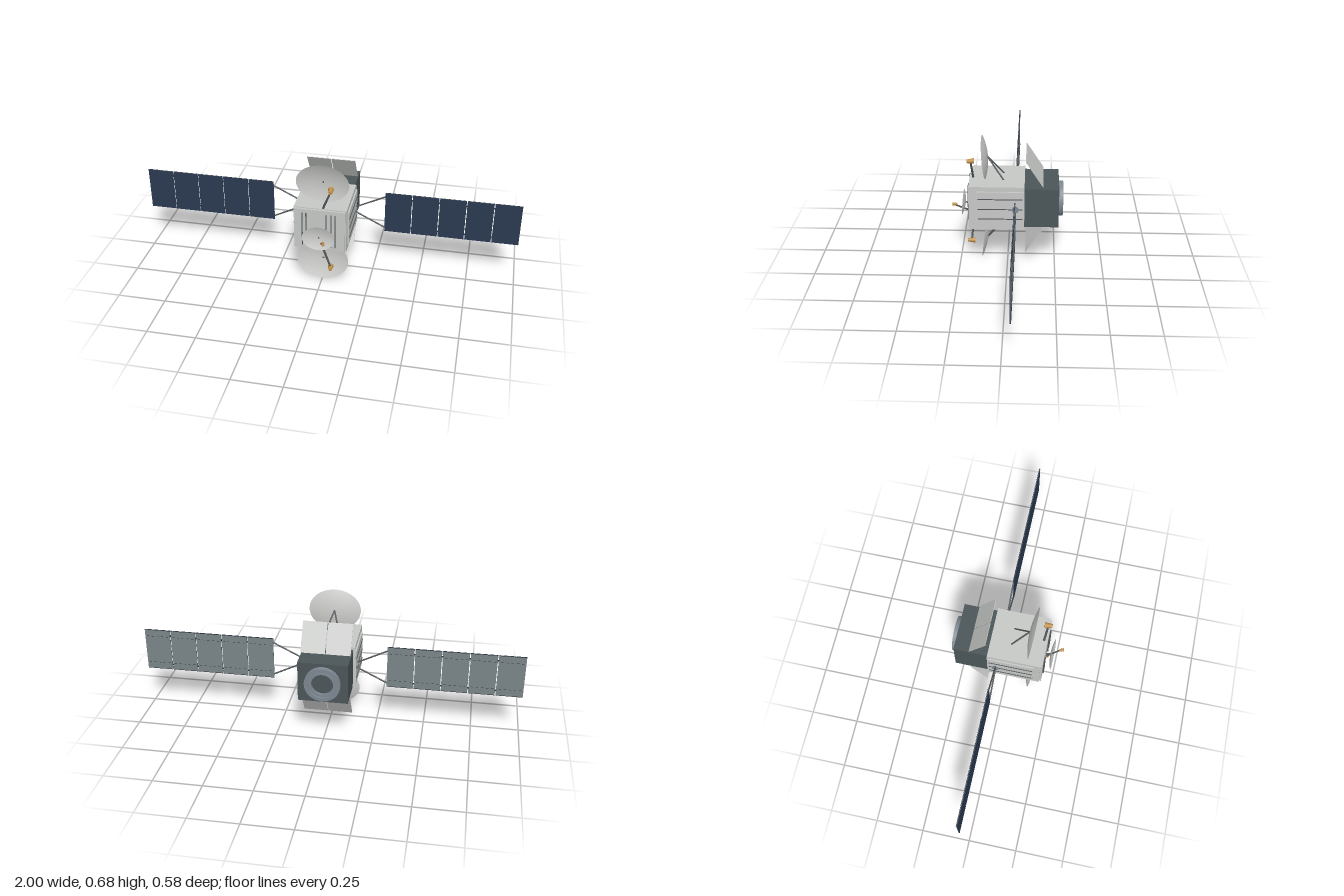
import * as THREE from 'three';

const mat = (name, color, side = THREE.FrontSide) => {
  const m = new THREE.MeshStandardMaterial({ color, side });
  m.name = name;
  return m;
};
const V = (x, y, z) => new THREE.Vector3(x, y, z);
const CY = 0.344; // height of the body axis

export function createModel() {
  const root = new THREE.Group();
  root.name = 'satellite';
  const M = {
    body: mat('lightGrey', 0xc6c8c6),
    dish: mat('dishGrey', 0xcacac8, THREE.DoubleSide),
    dark: mat('slate', 0x4b5558),
    steel: mat('steel', 0x7d8891),
    rod: mat('rodGrey', 0x50565a),
    cell: mat('navy', 0x2b3a52),
    back: mat('panelGrey', 0x7a8488),
    gold: mat('gold', 0xc08f48),
    line: mat('charcoal', 0x2c3032),
  };

  const add = (name, geo, material, parent = root) => {
    const m = new THREE.Mesh(geo, material);
    m.name = name;
    parent.add(m);
    return m;
  };
  // box from its extents along each axis
  const box = (name, [x0, x1], [y0, y1], [z0, z1], material) => {
    const m = add(name, new THREE.BoxGeometry(x1 - x0, y1 - y0, z1 - z0), material);
    m.position.set((x0 + x1) / 2, (y0 + y1) / 2, (z0 + z1) / 2);
    return m;
  };
  // round bar from a (radius ra) to b (radius rb)
  const bar = (name, a, b, ra, rb, material, sides = 10) => {
    const d = b.clone().sub(a);
    const m = add(name, new THREE.CylinderGeometry(rb, ra, d.length(), sides), material);
    m.position.copy(a).add(b).multiplyScalar(0.5);
    m.quaternion.setFromUnitVectors(V(0, 1, 0), d.normalize());
    return m;
  };
  // shallow elliptical bowl opening to +z, placed by its vertex
  const dish = (name, pos, rx, ry, depth, tilt) => {
    const pts = [];
    for (let i = 0; i <= 10; i++) pts.push(new THREE.Vector2(i / 10, depth * (i / 10) ** 2));
    const geo = new THREE.LatheGeometry(pts, 48).rotateX(Math.PI / 2).scale(rx, ry, 1);
    geo.computeVertexNormals();
    const m = add(name, geo, M.dish);
    m.position.copy(pos);
    m.rotation.x = tilt;
  };

  // Main body, front plate and rear module
  box('body', [-0.136, 0.136], [0.223, 0.465], [-0.088, 0.19], M.body);
  box('frontPlate', [-0.13, 0.13], [0.228, 0.46], [0.19, 0.2], M.body);
  for (const x of [-0.09, -0.07, 0.035, 0.06, 0.08])
    box('frontFin', [x - 0.002, x + 0.002], [0.25, 0.44], [0.2, 0.207], M.rod);
  box('rearModule', [-0.128, 0.128], [0.237, 0.452], [-0.265, -0.088], M.dark);
  for (const s of [-1, 1]) {
    const X = (a, b) => (s > 0 ? [a, b] : [-b, -a]);
    box('sidePanel', X(0.136, 0.144), [0.25, 0.44], [-0.086, 0.157], M.body);
    box('rearFrame', X(0.136, 0.139), [0.223, 0.465], [-0.088, -0.078], M.body);
    for (const y of [0.289, 0.344, 0.4])
      box('sideRib', X(0.144, 0.147), [y - 0.002, y + 0.002], [-0.078, 0.151], M.rod);
  }

  // Engine ring with a recessed dark centre
  const ringProfile = [[0.092, 0], [0.092, 0.023], [0.074, 0.023], [0.074, 0.012], [0.066, 0.012],
    [0.066, 0.018], [0.056, 0.018], [0.056, 0.002]];
  // doubled points keep the ring's edges sharp
  const ringPts = ringProfile.flatMap(([r, h]) => [new THREE.Vector2(r, h), new THREE.Vector2(r, h)]);
  const ringMat = M.steel;
  ringMat.side = THREE.DoubleSide;
  const ring = add('engineRing', new THREE.LatheGeometry(ringPts, 40).rotateX(-Math.PI / 2), ringMat);
  ring.position.set(0, CY, -0.265);
  const core = add('engineCore', new THREE.CylinderGeometry(0.057, 0.057, 0.004, 40).rotateX(Math.PI / 2), M.dark);
  core.position.set(0, CY, -0.266);

  // Upper and lower antennas, mirrored about the body axis
  for (const s of [1, -1]) {
    const P = (x, d, z) => V(x, CY + s * d, z);
    dish('largeDish', P(0, 0.231, 0.105), 0.137, 0.11, 0.021, s * 0.105);
    for (const x of [-0.045, 0.045])
      bar('dishStrut', P(x, 0.115, 0.018), P(0, 0.233, 0.106), 0.004, 0.004, M.rod);
    bar('feedArm', P(0.012, 0.115, 0.18), P(0.054, 0.223, 0.19), 0.006, 0.005, M.rod);
    bar('feedHorn', P(0.057, 0.228, 0.211), P(0.053, 0.23, 0.172), 0.009, 0.0145, M.gold, 20);

    // Slanted shield in two halves
    for (const x of [-0.065, 0.065]) {
      const shield = add('rearShield', new THREE.BoxGeometry(0.126, 0.163, 0.003), M.body);
      shield.position.copy(P(x, 0.1895, -0.139));
      shield.rotation.x = s * Math.atan2(0.088, 0.137);
    }
  }

  // Small front antenna
  dish('smallDish', V(0, 0.314, 0.223), 0.085, 0.065, 0.014, -0.065);
  bar('smallDishMount', V(0, 0.307, 0.2), V(0, 0.314, 0.224), 0.004, 0.004, M.rod);
  bar('smallFeedArm', V(0, 0.264, 0.2), V(0.034, 0.311, 0.272), 0.005, 0.004, M.rod);
  bar('smallFeedHorn', V(0.036, 0.317, 0.289), V(0.03, 0.315, 0.266), 0.009, 0.006, M.gold, 16);

  // Solar wings
  const Z = -0.042;
  for (const s of [-1, 1]) {
    const X = (a, b) => (s > 0 ? [a, b] : [-b, -a]);
    const hub = add('wingHub', new THREE.CylinderGeometry(0.018, 0.018, 0.014, 8).rotateZ(Math.PI / 2), M.steel);
    hub.position.set(s * 0.144, CY, Z);
    for (const t of [-1, 1])
      bar('wingStrut', V(s * 0.146, CY + t * 0.016, Z), V(s * 0.302, CY + t * 0.094, Z), 0.004, 0.004, M.rod);
    for (let i = 0; i < 5; i++) {
      const a = 0.3 + i * 0.14 + (i ? 0.002 : 0), b = 0.44 + i * 0.14 - (i < 4 ? 0.002 : 0);
      box('panelCells', X(a, b), [0.23, 0.46], [Z, Z + 0.003], M.cell);
      box('panelBack', X(a, b), [0.23, 0.46], [Z - 0.002, Z], M.back);
      for (const y of [0.23, 0.458])
        box('panelEdge', X(a, b), [y, y + 0.002], [Z - 0.0035, Z], M.line);
      for (const y of [0.268, 0.422])
        for (let k = 0; k < 5; k++) {
          const d = a + 0.012 + k * 0.026;
          box('panelDash', X(d, d + 0.012), [y - 0.001, y + 0.001], [Z - 0.003, Z - 0.002], M.line);
        }
      // hinges bridging neighbouring panels
      if (i) for (const y of [0.26, 0.43])
        box('panelHinge', X(a - 0.006, a + 0.002), [y - 0.004, y + 0.004], [Z - 0.003, Z - 0.001], M.line);
    }
  }
  return root;
}
